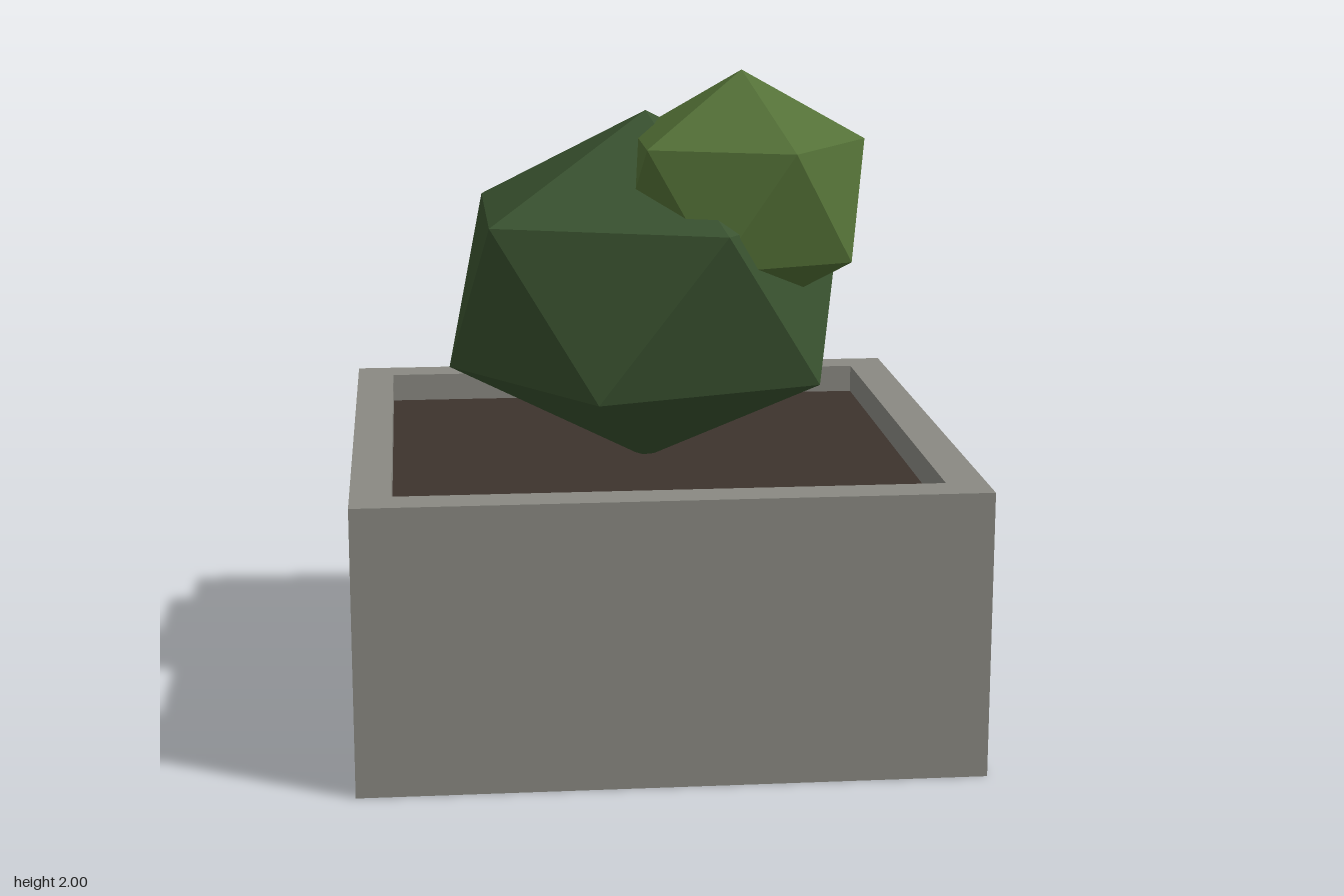
import * as THREE from 'three';

const mat = (name, color, flatShading = false) => {
  const m = new THREE.MeshStandardMaterial({ color, flatShading });
  m.name = name;
  return m;
};

function part(parent, name, geometry, material, x = 0, y = 0, z = 0) {
  const mesh = new THREE.Mesh(geometry, material);
  mesh.name = name;
  mesh.position.set(x, y, z);
  parent.add(mesh);
  return mesh;
}

// Square outline for the wall profile
function square(PathType, half) {
  const p = new PathType();
  p.moveTo(-half, -half);
  p.lineTo(half, -half);
  p.lineTo(half, half);
  p.lineTo(-half, half);
  p.closePath();
  return p;
}

// Squashed icosahedron standing on a corner, one upper-ring corner towards +x
function leafBall(radius, halfHeight) {
  const geometry = new THREE.IcosahedronGeometry(1, 0);
  geometry.rotateZ(-Math.atan(2 / (1 + Math.sqrt(5))));
  return geometry.scale(radius, halfHeight, radius);
}

export function createModel() {
  const model = new THREE.Group();
  model.name = 'pottedShrub';

  const concrete = mat('concrete grey', 0x8a8982);
  const earth = mat('earth brown', 0x3d332d);
  const darkLeaf = mat('dark leaf green', 0x39522f, true);
  const lightLeaf = mat('light leaf green', 0x537036, true);

  // Planter: square walls around an open middle, closed by a floor
  const planter = new THREE.Group();
  planter.name = 'planter';
  model.add(planter);
  const outline = square(THREE.Shape, 0.92);
  outline.holes.push(square(THREE.Path, 0.8));
  const walls = new THREE.ExtrudeGeometry(outline, { depth: 0.86, bevelEnabled: false });
  walls.rotateX(-Math.PI / 2);
  part(planter, 'planterWalls', walls, concrete);
  part(planter, 'planterFloor', new THREE.BoxGeometry(1.6, 0.1, 1.6), concrete, 0, 0.05, 0);

  // Soil, a little below the rim
  part(model, 'soil', new THREE.BoxGeometry(1.6, 0.67, 1.6), earth, 0, 0.435, 0);

  // Foliage: a large ball with a smaller shoot on its front left shoulder
  part(model, 'largeFoliage', leafBall(0.69, 0.553), darkLeaf, 0, 1.307, 0);
  part(model, 'smallFoliage', leafBall(0.425, 0.385), lightLeaf, 0.275, 1.615, 0.18);

  return model;
}
